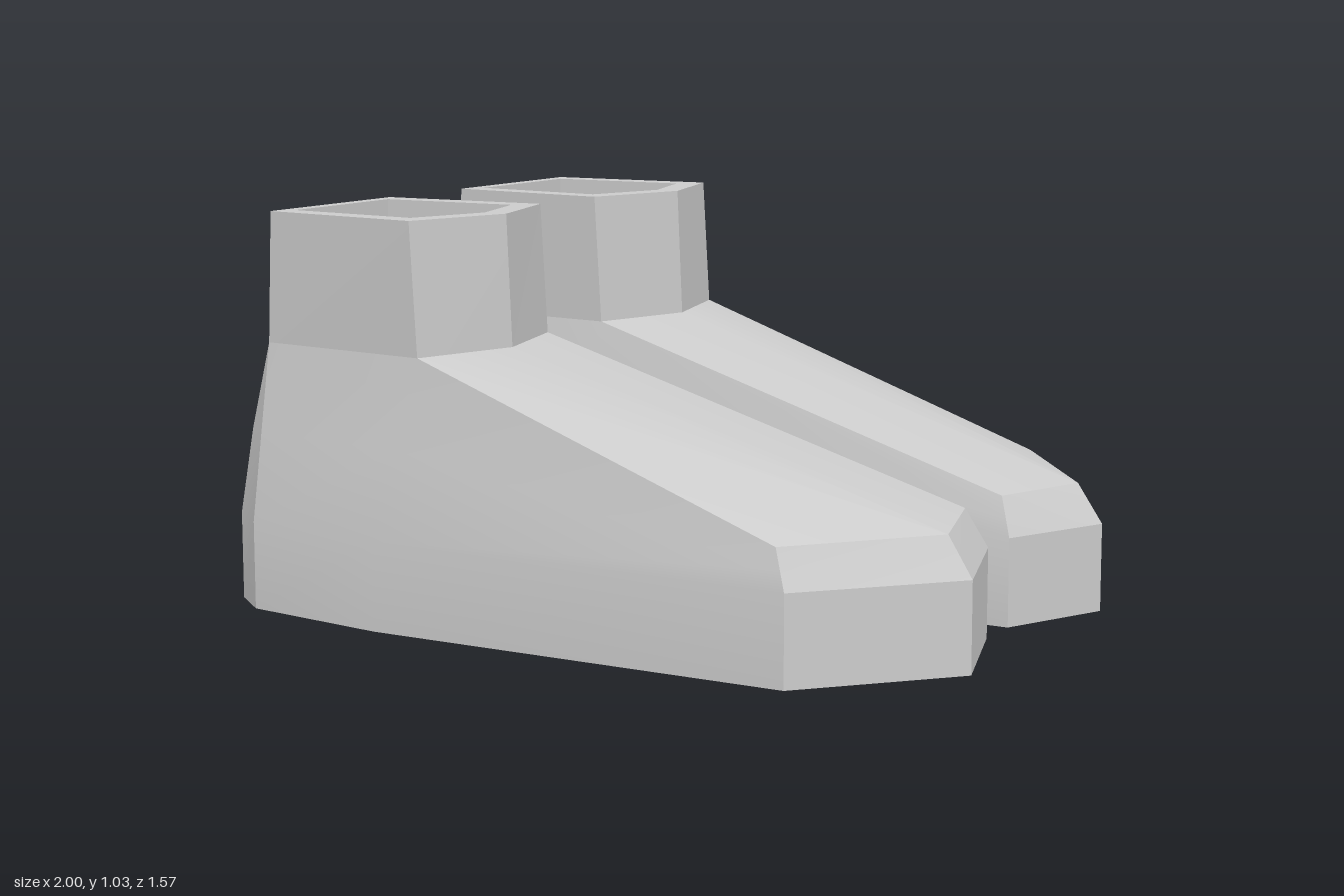
import * as THREE from 'three';
import { toCreasedNormals } from 'three/addons/utils/BufferGeometryUtils.js';

const material = new THREE.MeshStandardMaterial({ color: 0xcccccc });

// Collects triangles; side = -1 mirrors z and flips the winding.
function builder(side) {
  const out = [];
  const tri = (a, b, c) => {
    const [p, q, r] = [a, b, c].map(v => new THREE.Vector3(v[0], v[1], v[2] * side));
    const area = q.clone().sub(p).cross(r.clone().sub(p)).length();
    if (area < 1e-6) return;
    for (const v of side > 0 ? [p, q, r] : [p, r, q]) out.push(v.x, v.y, v.z);
  };
  const quad = (a, b, c, d) => { tri(a, b, c); tri(a, c, d); };
  const band = (low, high) => low.forEach((p, i) => {
    const j = (i + 1) % low.length;
    quad(p, low[j], high[j], high[i]);
  });
  const cap = ring => {
    for (let i = 1; i < ring.length - 1; i++) tri(ring[0], ring[i], ring[i + 1]);
  };
  const mesh = name => {
    const g = new THREE.BufferGeometry();
    g.setAttribute('position', new THREE.Float32BufferAttribute(out, 3));
    const m = new THREE.Mesh(toCreasedNormals(g, 0.35), material);
    m.name = name;
    return m;
  };
  return { quad, band, cap, mesh };
}

// toe and toeTop list outer corner, tip and inner corner as [x, z].
function makeShoe(name, side, toe, toeTop) {
  const group = new THREE.Group();
  group.name = name;
  const at = (points, y) => points.map(([x, z]) => [x, y, z]);

  // Sole outline, from the heel around the outer side
  const outline = [[-1, 0.18], [-1, 0.655], [-0.89, 0.738], [-0.47, 0.782],
    ...toe, [-0.47, 0.05], [-0.89, 0.097]];
  const sole = at(outline, 0);
  const welt = at(outline, 0.23);

  // Ankle corners: inner heel, outer heel, outer front, front tip, inner front
  const ankle = at([[-0.885, 0.165], [-0.885, 0.665], [-0.38, 0.705], [-0.295, 0.415], [-0.38, 0.13]], 0.69);
  const toes = at(toeTop, 0.33);
  const upper = [ankle[0], ankle[1], ankle[1], ankle[2], ...toes, ankle[4], ankle[0]];

  // Middle ring gives the heel its slight bulge
  const middle = welt.map((p, i) => p.map((v, k) => (v + upper[i][k]) / 2));
  middle[0][0] = middle[1][0] = -0.95;

  const body = builder(side);
  body.cap([...sole].reverse());
  body.band(sole, welt);
  body.band(welt, middle);
  body.band(middle, upper);
  // Instep, folded along its centre
  body.quad(ankle[2], toes[0], toes[1], ankle[3]);
  body.quad(ankle[3], toes[1], toes[2], ankle[4]);
  group.add(body.mesh('shoeBody'));

  // Hollow ankle collar with rim, inner wall and floor
  const rim = at([[-0.87, 0.165], [-0.87, 0.665], [-0.4, 0.705], [-0.31, 0.415], [-0.4, 0.13]], 1.03);
  const hole = [[-0.833, 0.222], [-0.833, 0.61], [-0.448, 0.635], [-0.377, 0.415], [-0.448, 0.195]];
  const lip = at(hole, 1.03);
  const floor = at(hole, 0.69);
  const collar = builder(side);
  collar.band(ankle, rim);
  collar.band(rim, lip);
  collar.band(lip, floor);
  collar.cap(floor);
  group.add(collar.mesh('ankleCollar'));
  return group;
}

export function createModel() {
  const model = new THREE.Group();
  model.name = 'pairOfShoes';
  model.add(
    makeShoe('frontShoe', 1,
      [[0.69, 0.75], [1, 0.4], [0.875, 0.05]],
      [[0.653, 0.725], [0.93, 0.39], [0.825, 0.08]]),
    makeShoe('backShoe', -1,
      [[0.668, 0.785], [1, 0.37], [0.872, 0.08]],
      [[0.62, 0.76], [0.93, 0.372], [0.835, 0.112]]));
  return model;
}
